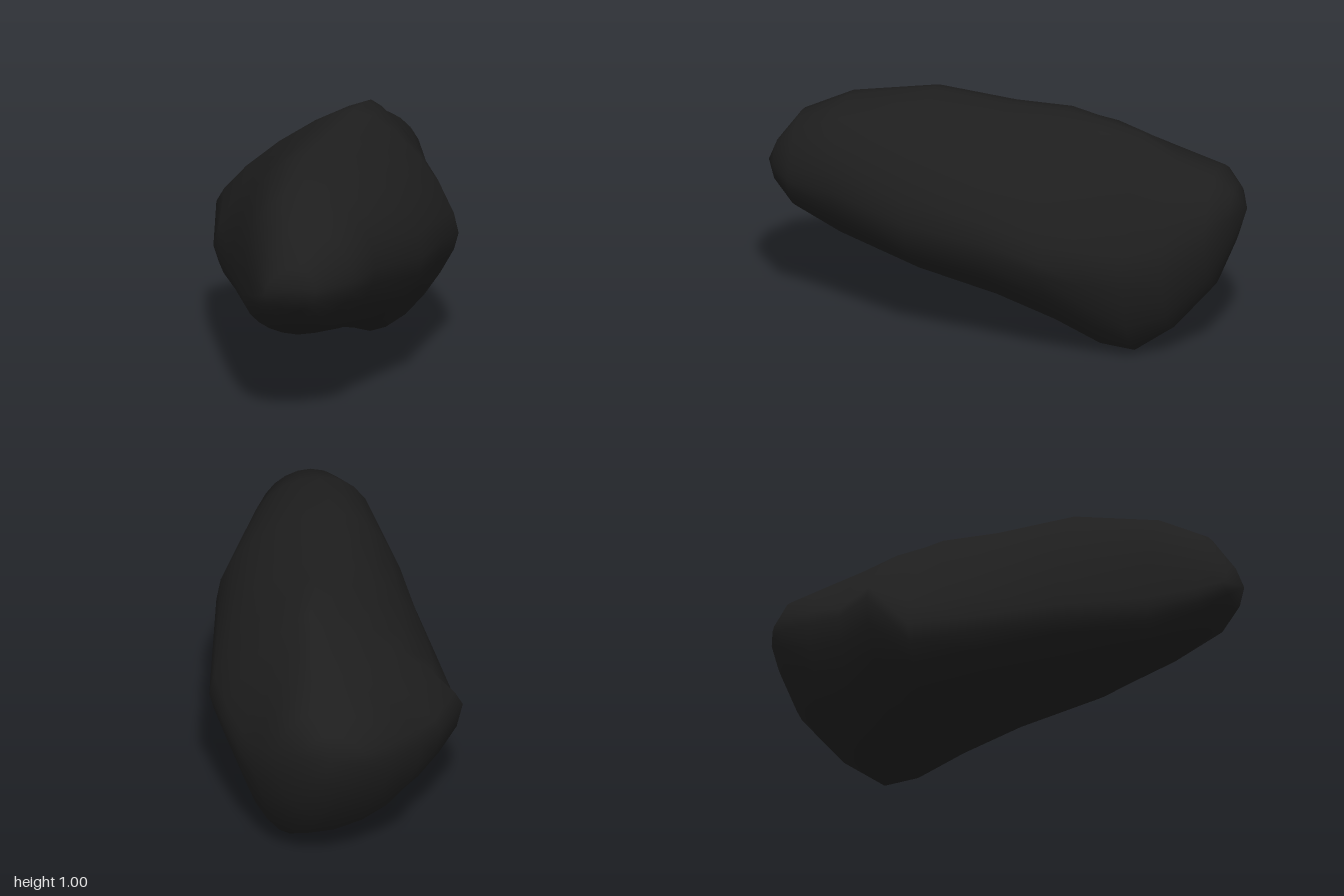
import * as THREE from 'three';

// Cross-sections from front to back: z, left edge x y, right edge x y, top x y, bottom x y,
// then the fullness of the upper right, upper left, lower left and lower right of the outline
const SECTIONS = [
  [0.97, -0.09, 0.58, 0.12, 0.60, 0.05, 0.70, 0.04, 0.52, 1.8, 1.8, 2.1, 1.8],
  [0.87, -0.15, 0.54, 0.26, 0.62, 0.05, 0.84, 0.03, 0.43, 1.9, 2.1, 2.2, 1.8],
  [0.68, -0.225, 0.49, 0.32, 0.62, 0.02, 0.92, 0.00, 0.325, 2.0, 2.4, 2.1, 1.8],
  [0.33, -0.335, 0.46, 0.455, 0.57, -0.02, 0.98, 0.00, 0.235, 1.85, 1.8, 1.8, 1.9],
  [0.00, -0.43, 0.41, 0.485, 0.54, 0.01, 0.965, 0.02, 0.15, 1.7, 1.6, 1.8, 1.75],
  [-0.25, -0.495, 0.385, 0.51, 0.49, 0.08, 0.995, 0.09, 0.065, 1.5, 1.5, 1.75, 1.5],
  [-0.42, -0.51, 0.52, 0.465, 0.48, 0.11, 0.975, 0.12, 0.00, 1.35, 1.3, 1.7, 1.6],
  [-0.57, -0.415, 0.49, 0.41, 0.45, 0.10, 0.935, 0.20, 0.015, 1.35, 1.3, 1.75, 1.6],
  [-0.72, -0.33, 0.52, 0.345, 0.46, 0.09, 0.85, 0.14, 0.11, 1.6, 1.6, 1.9, 1.9],
  [-0.88, -0.21, 0.57, 0.27, 0.56, 0.07, 0.795, 0.08, 0.295, 2.0, 1.8, 1.9, 1.9],
  [-0.95, -0.10, 0.60, 0.15, 0.62, 0.06, 0.72, 0.06, 0.47, 1.9, 1.8, 1.8, 1.9],
];
const FRONT_TIP = [0.07, 0.62, 1];
const BACK_TIP = [0.05, 0.63, -1];
const SIDES = 24;

// Point on a ring whose four quadrants are flattened arcs between the edges
function ringPoint([z, lx, ly, rx, ry, tx, ty, bx, by, ...fullness], i) {
  const a = (i / SIDES) * Math.PI * 2;
  const c = Math.cos(a), s = Math.sin(a);
  const [ex, ey] = c >= 0 ? [rx, ry] : [lx, ly];
  const [vx, vy] = s >= 0 ? [tx, ty] : [bx, by];
  const power = 2 / fullness[Math.floor((i * 4) / SIDES)];
  const u = Math.pow(Math.abs(c), power);
  const v = Math.pow(Math.abs(s), power);
  return [vx + (ex - vx) * u, ey + (vy - ey) * v, z];
}

function createStoneGeometry() {
  const positions = [...FRONT_TIP];
  const index = [];
  const n = SECTIONS.length;

  for (const section of SECTIONS) {
    for (let i = 0; i < SIDES; i++) positions.push(...ringPoint(section, i));
  }
  positions.push(...BACK_TIP);

  // Skin between the rings, closed by a fan at each tip
  const at = (ring, i) => 1 + ring * SIDES + (i % SIDES);
  const last = 1 + n * SIDES;
  for (let i = 0; i < SIDES; i++) {
    index.push(0, at(0, i), at(0, i + 1));
    for (let r = 0; r < n - 1; r++) {
      const a = at(r, i), b = at(r, i + 1), c = at(r + 1, i), d = at(r + 1, i + 1);
      index.push(a, c, b, b, c, d);
    }
    index.push(last, at(n - 1, i + 1), at(n - 1, i));
  }

  const geometry = new THREE.BufferGeometry();
  geometry.setAttribute('position', new THREE.Float32BufferAttribute(positions, 3));
  geometry.setIndex(index);
  geometry.computeVertexNormals();
  return geometry;
}

export function createModel() {
  const group = new THREE.Group();
  group.name = 'rock';
  const stone = new THREE.Mesh(
    createStoneGeometry(),
    new THREE.MeshStandardMaterial({ color: 0x1e1e1e })
  );
  stone.name = 'stone';
  group.add(stone);
  return group;
}
